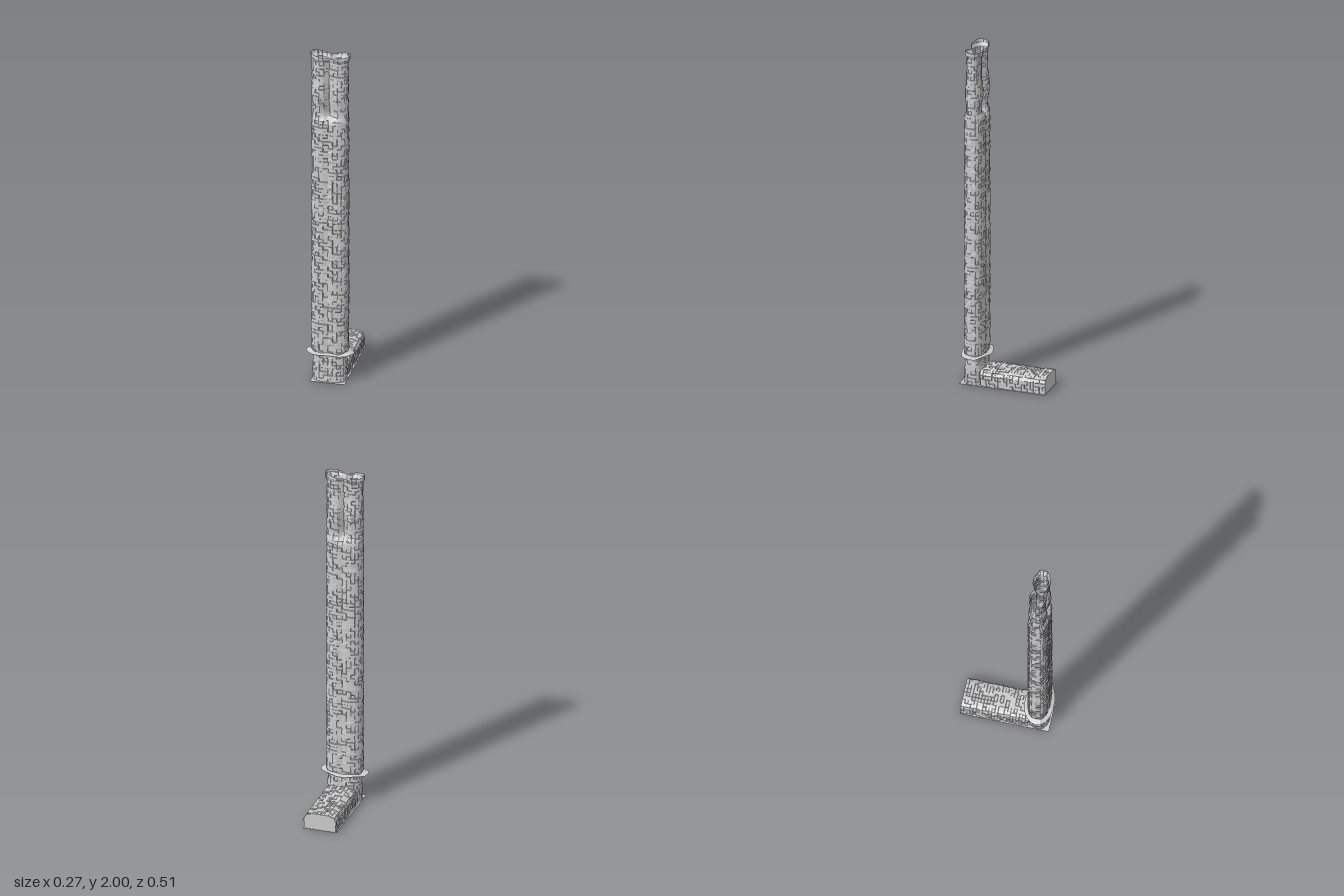
import * as THREE from 'three';

const CZ = 0.173; // z of the chimney axis

const material = new THREE.MeshStandardMaterial({
  color: 0xcccccc, flatShading: true, side: THREE.DoubleSide,
});

function seeded(seed) {
  let s = seed;
  return () => {
    s = (s * 16807) % 2147483647;
    return s / 2147483647;
  };
}

// Surface from a function point(i, j) on a grid of columns x rows
function gridMesh(name, cols, rows, point) {
  const pos = [], index = [];
  for (let j = 0; j < rows; j++) {
    for (let i = 0; i < cols; i++) pos.push(...point(i, j));
  }
  for (let j = 0; j < rows - 1; j++) {
    for (let i = 0; i < cols - 1; i++) {
      const a = j * cols + i, b = a + cols;
      index.push(a, b, a + 1, b, b + 1, a + 1);
    }
  }
  const geo = new THREE.BufferGeometry();
  geo.setAttribute('position', new THREE.Float32BufferAttribute(pos, 3));
  geo.setIndex(index);
  geo.computeVertexNormals();
  const mesh = new THREE.Mesh(geo, material);
  mesh.name = name;
  return mesh;
}

// Masonry skin: every brick is a facet pushed in or out, with small steps between
function brickSkin(name, nu, nv, closed, surface, seed) {
  const rnd = seeded(seed);
  const push = [];
  for (let k = 0; k < nu * nv; k++) {
    const deep = rnd() < 0.14;
    push.push(deep ? -0.005 : (rnd() - 0.5) * 0.005);
  }
  const gap = 0.06;
  const cols = nu * 2 + (closed ? 1 : 0);
  return gridMesh(name, cols, nv * 2, (i, j) => {
    const wrap = i === nu * 2;
    const bi = wrap ? 0 : i >> 1, bj = j >> 1;
    const edge = (k, n, c) => (!closed && k === 0) || k === n * 2 - 1 && !c ? 0 : gap;
    const u = (wrap ? nu + gap : bi + (i % 2 ? 1 - edge(i, nu, closed) : edge(i, nu, closed))) / nu;
    const v = (bj + (j % 2 ? (j === nv * 2 - 1 ? 1 : 1 - gap) : (j === 0 ? 0 : gap))) / nv;
    return surface(u, v, push[bj * nu + bi]);
  });
}

// Interpolates rows of [y, halfWidth, halfDepth, pinch]
function sample(table, y) {
  let k = 0;
  while (k < table.length - 2 && y > table[k + 1][0]) k++;
  const t = THREE.MathUtils.smoothstep(y, table[k][0], table[k + 1][0]);
  return table[k].map((a, n) => THREE.MathUtils.lerp(a, table[k + 1][n], t));
}

// Twin-lobed plan: an oval pinched at the middle
function twinLobe(theta, a, b, pinch) {
  const c = Math.cos(theta), s = Math.sin(theta);
  const x = a * c;
  const z = Math.sign(s) * b * Math.pow(Math.abs(s), 0.7) * (1 - pinch * Math.exp(-((x / 0.026) ** 2)));
  return [x, z];
}

const stackProfile = [
  [0, 0.096, 0.063, 0.08],
  [0.16, 0.096, 0.06, 0.08],
  [0.19, 0.105, 0.064, 0.14],
  [1.59, 0.105, 0.063, 0.16],
  [1.64, 0.104, 0.048, 0.75],
  [1.75, 0.104, 0.060, 0.65],
  [1.87, 0.104, 0.047, 0.6],
  [1.955, 0.104, 0.046, 0.5],
  [1.975, 0.114, 0.055, 0.45],
  [2, 0.114, 0.053, 0.4],
];

function createStack() {
  return brickSkin('chimneyStack', 24, 96, true, (u, v, d) => {
    const y = v * 2;
    const [, a, b, pinch] = sample(stackProfile, y);
    const [x, z] = twinLobe(u * Math.PI * 2, a + d * 0.7, b + d, pinch);
    // The rim dips between the two flues
    const dip = y > 1.97 ? 0.018 * Math.exp(-((x / 0.06) ** 2)) * (y - 1.97) / 0.03 : 0;
    return [x, y - dip, CZ + z];
  }, 71);
}

// Thin, uneven flange around the foot of the stack
function createCollar() {
  const rings = [[0.097, 0.058, 0.16], [0.137, 0.083, 0.17], [0.1, 0.06, 0.178]];
  const n = 18;
  return gridMesh('collar', n + 1, rings.length, (i, j) => {
    const t = (i % n) / n * Math.PI * 2;
    const [a, b, y] = rings[j];
    const w = j === 1 ? 1 + 0.035 * Math.sin(3 * t + 0.6) : 1;
    return [a * w * Math.cos(t), y + 0.004 * Math.sin(5 * t), CZ + b * w * Math.sin(t)];
  });
}

// Low arched flue running back from the stack, closed at its far end
function createFlue() {
  const group = new THREE.Group();
  group.name = 'flue';
  const half = [[0.092, 0], [0.092, 0.065], [0.08, 0.088], [0.045, 0.097]];
  const outline = [...half, ...half.slice().reverse().map(([x, y]) => [-x, y])]
    .map(([x, y]) => new THREE.Vector2(x, y));
  const path = new THREE.Path(outline);
  const z0 = 0.125, z1 = -0.256;
  group.add(brickSkin('flueWalls', 16, 22, false, (u, v, d) => {
    const p = path.getPointAt(u);
    const k = 1 + d / 0.07;
    return [p.x * k, Math.max(0, 0.03 + (p.y - 0.03) * k), z0 + (z1 - z0) * v];
  }, 913));
  const end = new THREE.Mesh(new THREE.ShapeGeometry(new THREE.Shape(outline)), material);
  end.name = 'flueEnd';
  end.rotation.y = Math.PI;
  end.position.z = z1;
  group.add(end);
  return group;
}

export function createModel() {
  const model = new THREE.Group();
  model.name = 'chimney';

  // Flat ground slab
  const slab = new THREE.Mesh(new THREE.BoxGeometry(0.197, 0.002, 0.503), material);
  slab.name = 'baseSlab';
  slab.position.set(0, 0.001, -0.0075);

  model.add(slab, createStack(), createCollar(), createFlue());
  return model;
}
